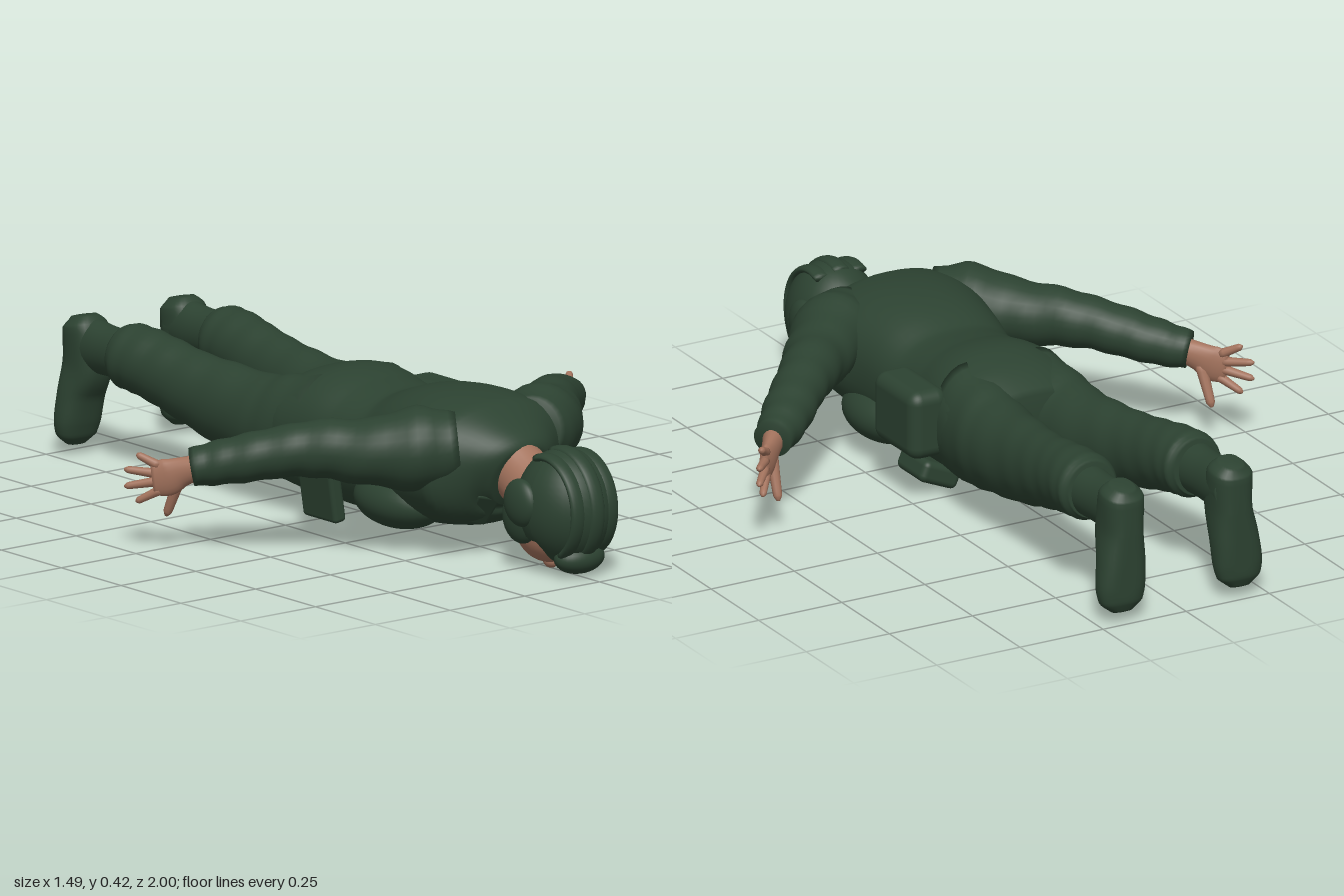
import * as THREE from 'three';
import { RoundedBoxGeometry } from 'three/addons/geometries/RoundedBoxGeometry.js';

const cloth = new THREE.MeshStandardMaterial({ color: 0x2c4231 });
cloth.name = 'dark green cloth';
const skin = new THREE.MeshStandardMaterial({ color: 0xa3735d });
skin.name = 'skin';

const Y = new THREE.Vector3(0, 1, 0), X = new THREE.Vector3(1, 0, 0), Z = new THREE.Vector3(0, 0, 1);

// Smooth body through cross-sections [x, y, z, sideRadius, upRadius]; s = -1 mirrors it
function loft(sections, { s = 1, up = Y, power = 2, sides = 28, steps = 5, ripple = 0 } = {}) {
  const path = new THREE.CatmullRomCurve3(sections.map(p => new THREE.Vector3(p[0] * s, p[1], p[2])));
  const size = new THREE.CatmullRomCurve3(sections.map(p => new THREE.Vector3(p[3], p[4], 0)));
  const n = (sections.length - 1) * steps, pos = [], idx = [];
  for (let i = 0; i <= n; i++) {
    const c = path.getPoint(i / n), r = size.getPoint(i / n), t = path.getTangent(i / n);
    const side = new THREE.Vector3().crossVectors(up, t).normalize();
    const rise = new THREE.Vector3().crossVectors(t, side);
    for (let j = 0; j < sides; j++) {
      const a = j / sides * Math.PI * 2, ca = Math.cos(a), sa = Math.sin(a);
      // soft diagonal cloth folds
      const k = 1 + ripple * Math.sin(i * 1.3 + 2 * Math.sin(a + 0.7));
      const u = Math.sign(ca) * Math.abs(ca) ** (2 / power) * r.x * k;
      const v = Math.sign(sa) * Math.abs(sa) ** (2 / power) * r.y * k;
      const p = c.clone().addScaledVector(side, u).addScaledVector(rise, v);
      pos.push(p.x, p.y, Math.max(p.z, -1));
    }
  }
  for (let i = 0; i < n; i++) for (let j = 0; j < sides; j++) {
    const a = i * sides + j, b = i * sides + (j + 1) % sides;
    idx.push(a, b, a + sides, b, b + sides, a + sides);
  }
  // end caps
  const first = pos.length / 3, a = path.getPoint(0), b = path.getPoint(1);
  pos.push(a.x, a.y, a.z, b.x, b.y, b.z);
  for (let j = 0; j < sides; j++) {
    const k = (j + 1) % sides;
    idx.push(first, k, j, first + 1, n * sides + j, n * sides + k);
  }
  const g = new THREE.BufferGeometry();
  g.setAttribute('position', new THREE.Float32BufferAttribute(pos, 3));
  g.setIndex(idx);
  g.computeVertexNormals();
  return g;
}

function ball(x, y, z, rx, ry, rz) {
  return new THREE.SphereGeometry(1, 32, 24).scale(rx, ry, rz).translate(x, y, z);
}

export function createModel() {
  const model = new THREE.Group();
  model.name = 'lyingFigure';
  const add = (name, geometry, material = cloth, parent = model) => {
    const m = new THREE.Mesh(geometry, material);
    m.name = name;
    parent.add(m);
    return m;
  };

  // Jacket and hips
  add('jacket', loft([
    [0, .225, .668, .085, .085], [0, .238, .635, .145, .12], [0, .245, .56, .235, .165],
    [0, .245, .47, .235, .178], [0, .235, .35, .212, .18], [0, .21, .22, .196, .166],
    [0, .213, .1, .198, .172], [0, .225, 0, .208, .178], [0, .225, -.1, .213, .16], [0, .22, -.2, .185, .115],
  ], { power: 2.3, sides: 48 }));

  // Head: neck, face, padded helmet
  const head = new THREE.Group();
  head.name = 'head';
  model.add(head);
  add('neck', loft([[0, .26, .63, .078, .084], [0, .225, .69, .073, .082], [0, .19, .75, .075, .088]]), skin, head);
  add('face', ball(0, .122, .79, .088, .1, .098), skin, head);
  add('nose', ball(0, .026, .795, .016, .02, .026), skin, head);

  const shell = ball(0, .185, .856, .122, .153, .14);
  const p = shell.attributes.position;
  for (let i = 0; i < p.count; i++) // opening for the face
    if (p.getZ(i) < .865 && p.getY(i) < .1) p.setY(i, .1);
  shell.computeVertexNormals();
  add('helmet', shell, cloth, head);
  add('browPad', ball(0, .056, .915, .075, .042, .05), cloth, head);
  for (const x of [-.055, 0, .055]) {
    const k = 1 - Math.abs(x) * 1.6, ridge = [];
    for (let i = 0; i <= 10; i++) {
      const a = -1 + i * .29;
      ridge.push([x, .185 + Math.sin(a) * .149 * k, .856 + Math.cos(a) * .135 * k, .011, .023]);
    }
    add('helmetRidge', loft(ridge, { up: X, sides: 14, steps: 3 }), cloth, head);
  }
  for (const s of [-1, 1]) {
    add('earCup', ball(s * .112, .2, .812, .031, .064, .062), cloth, head);
    add('cheekFlap', ball(s * .083, .15, .775, .03, .07, .068), cloth, head);
  }

  for (const s of [-1, 1]) {
    // Arm
    add('sleeve', loft([
      [.12, .31, .56, .085, .085], [.2, .3, .5, .108, .112], [.3, .29, .41, .09, .088],
      [.38, .293, .32, .076, .078], [.45, .283, .25, .07, .068], [.52, .263, .18, .068, .064],
      [.58, .246, .12, .06, .058], [.628, .235, .08, .05, .05],
    ], { s, ripple: .03 }));

    // Hand with spread fingers, thumb down
    const hand = new THREE.Group();
    hand.name = 'hand';
    model.add(hand);
    add('palm', loft([
      [.615, .235, .092, .03, .033], [.645, .22, .057, .024, .04],
      [.67, .205, .03, .02, .05], [.697, .2, .003, .012, .044],
    ], { s, sides: 20 }), skin, hand);
    const fingers = [
      [[.685, .235, .014], [.724, .264, -.03]], [[.69, .214, .008], [.745, .222, -.055]],
      [[.69, .192, .008], [.745, .176, -.055]], [[.682, .17, .016], [.722, .135, -.035]],
      [[.645, .2, .05], [.652, .094, .004]],
    ];
    fingers.forEach(([a, b], i) => {
      const at = t => a.map((v, k) => v + (b[k] - v) * t), r = i === 4 ? .014 : .011;
      add(i === 4 ? 'thumb' : 'finger', loft([
        [...at(0), r * 1.2, r * 1.2], [...at(.5), r, r], [...at(.88), r * .85, r * .85], [...at(1), r * .3, r * .3],
      ], { s, up: i === 4 ? X : Y, sides: 10, steps: 3 }), skin, hand);
    });

    // Trouser leg, bloused over the boot
    add('trouserLeg', loft([
      [.105, .225, -.02, .1, .158], [.11, .22, -.15, .108, .142], [.115, .222, -.25, .105, .123],
      [.127, .24, -.4, .09, .112], [.14, .262, -.52, .083, .099], [.147, .283, -.62, .083, .094],
      [.154, .298, -.7, .086, .091], [.157, .302, -.755, .087, .089], [.158, .304, -.785, .07, .076],
    ], { s, ripple: .015 }));

    // Boot
    const boot = new THREE.Group();
    boot.name = 'boot';
    model.add(boot);
    add('bootShaft', loft([
      [.16, .3, -.75, .064, .07], [.16, .3, -.84, .056, .067],
      [.16, .302, -.91, .055, .072], [.162, .305, -.965, .055, .06],
    ], { s }), cloth, boot);
    add('bootFoot', loft([
      [.163, .378, -.95, .03, .035], [.163, .35, -.944, .057, .056], [.164, .25, -.935, .056, .068],
      [.17, .17, -.953, .065, .05], [.176, .1, -.961, .068, .042], [.177, .06, -.965, .06, .034],
      [.177, .034, -.968, .03, .018],
    ], { s, up: Z, power: 2.5 }), cloth, boot);

    // Jacket front and collar tabs
    add('chestPocket', ball(s * .14, .125, .34, .098, .075, .15));
    const tab = add('collarTab', new RoundedBoxGeometry(.07, .022, .11, 3, .01));
    tab.position.set(s * .075, .14, .6);
    tab.rotation.set(-.9, 0, s * .35);
  }

  // Belt gear: [name, width, height, length, x, y, z, roll]
  for (const [name, w, h, l, x, y, z, roll] of [
    ['hipBag', .115, .19, .22, .228, .24, .05, 0],
    ['frontPouch', .12, .06, .14, .15, .056, .09, .4],
    ['sidePouch', .04, .16, .14, -.222, .12, .115, .15],
  ]) {
    const m = add(name, new RoundedBoxGeometry(w, h, l, 4, Math.min(w, h) * .3));
    m.position.set(x, y, z);
    m.rotation.z = roll;
  }
  return model;
}
